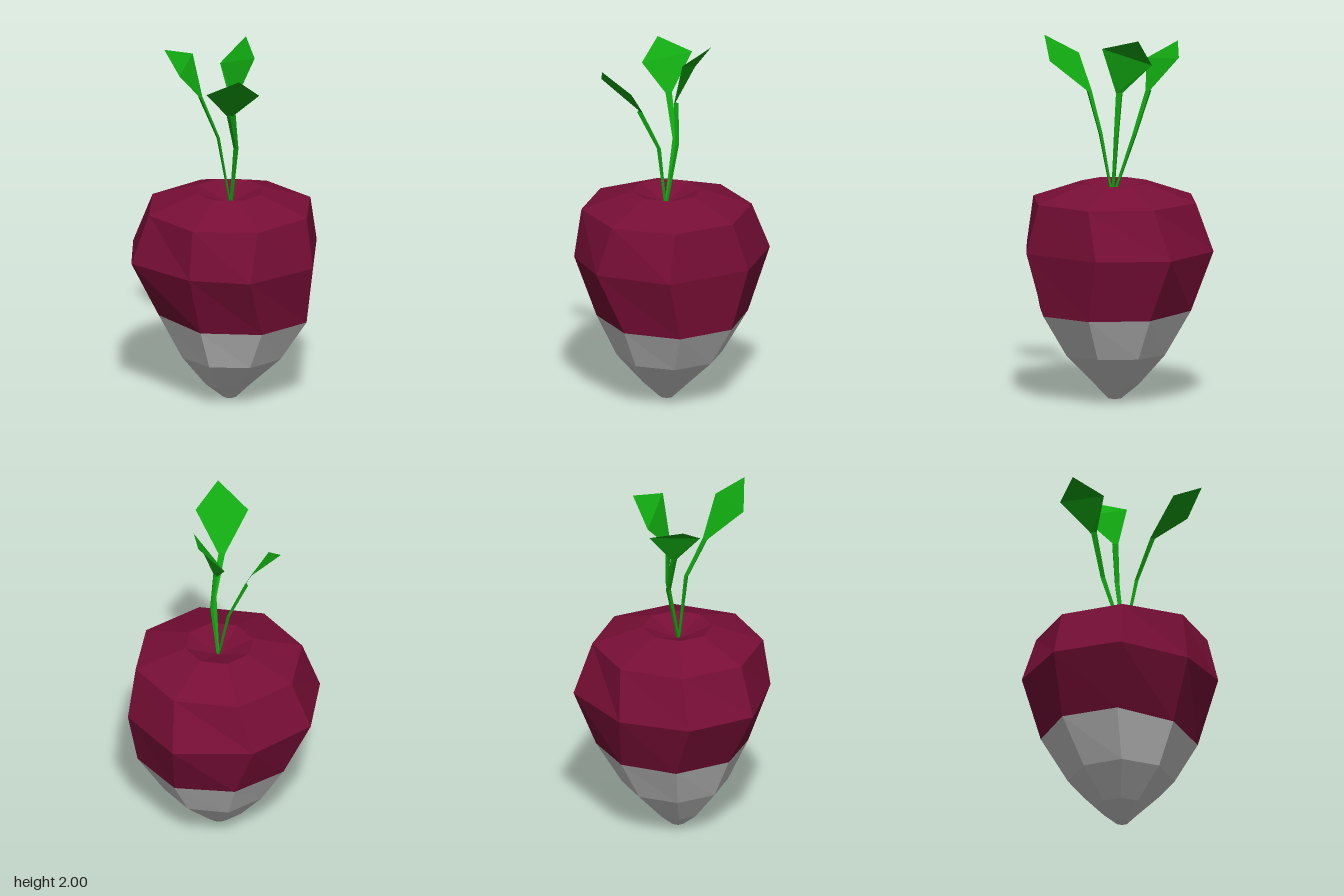
import * as THREE from 'three';

const SIDES = 8;

const material = (color, side = THREE.FrontSide) =>
  new THREE.MeshStandardMaterial({ color, side, flatShading: true });

const V = (p) => new THREE.Vector3(...p);

// Regular octagonal ring of points
function ring(cx, y, cz, r) {
  return Array.from({ length: SIDES }, (_, i) => {
    const a = (i / SIDES) * Math.PI * 2;
    return [cx + r * Math.cos(a), y, cz + r * Math.sin(a)];
  });
}

// Joins rings of equal count, listed bottom to top, into one skin
function loft(rings) {
  const n = rings[0].length;
  const index = [];
  for (let k = 0; k < rings.length - 1; k++) {
    for (let i = 0; i < n; i++) {
      const a = k * n + i, b = k * n + ((i + 1) % n);
      index.push(a, a + n, b + n, a, b + n, b);
    }
  }
  return surface(rings.flat(), index);
}

function surface(points, index) {
  const g = new THREE.BufferGeometry();
  g.setAttribute('position', new THREE.Float32BufferAttribute(points.flat(), 3));
  g.setIndex(index);
  g.computeVertexNormals();
  return g;
}

function add(parent, name, geometry, mat) {
  const mesh = new THREE.Mesh(geometry, mat);
  mesh.name = name;
  parent.add(mesh);
}

// One sprout: three-sided stem through the path, then a folded diamond leaf
function sprout({ name, mid, neck, left, right, tip }, mat) {
  const group = new THREE.Group();
  group.name = name;
  const across = V(right).sub(V(left)).setY(0).normalize();
  const out = V(neck).sub(V([0.02, 0, 0.03])).setY(0).normalize();
  const path = [[[0.03, 1.11, 0.035], 0.008], [mid, 0.014], [neck, 0.018]];
  const rings = path.map(([p, w]) => [
    V(p).addScaledVector(across, -w).toArray(),
    V(p).addScaledVector(across, w).toArray(),
    V(p).addScaledVector(out, w * 1.2).toArray(),
  ]);
  add(group, 'stem', loft(rings), mat);
  const [neckLeft, neckRight] = rings[2];
  add(group, 'leaf', surface([neckLeft, neckRight, right, left, tip],
    [0, 1, 2, 0, 2, 3, 3, 2, 4]), mat);
  return group;
}

export function createModel() {
  const model = new THREE.Group();
  model.name = 'rootVegetable';

  // Slightly irregular widest ring
  const widest = [
    [0.54, 0.065], [0.345, 0.445], [0.02, 0.535], [-0.385, 0.42],
    [-0.545, 0.065], [-0.41, -0.31], [-0.035, -0.54], [0.345, -0.385],
  ].map(([x, z]) => [x, 0.83, z]);

  // Colour boundary, a little higher on one side
  const boundary = ring(0.03, 0.49, 0, 0.44).map(([x, y, z]) =>
    [x, x < -0.1 ? 0.51 : y, z * 0.94]);

  // Upper body with a dished crown
  add(model, 'upperBody', loft([
    boundary,
    widest,
    ring(0.02, 1.1, 0.03, 0.465),
    ring(0.02, 1.195, 0.03, 0.19),
    ring(0.02, 1.12, 0.03, 0),
  ]), material(0x780e36));

  // Pale root tapering to a blunt tip
  add(model, 'rootTip', loft([
    ring(0.02, 0, 0.03, 0),
    ring(0.02, 0.008, 0.03, 0.038),
    ring(0.01, 0.09, 0.03, 0.13),
    ring(0.03, 0.26, 0.015, 0.29),
    boundary,
  ]), material(0xcccccc));

  // Three sprouts from the crown
  const green = material(0x11a811, THREE.DoubleSide);
  const sprouts = [
    { name: 'rightSprout', mid: [-0.07, 1.46, -0.025], neck: [-0.165, 1.69, 0],
      left: [-0.285, 1.88, -0.14], right: [-0.23, 1.845, 0.14], tip: [-0.37, 1.945, 0.04] },
    { name: 'backSprout', mid: [0.035, 1.46, -0.02], neck: [0.015, 1.69, -0.015],
      left: [0.135, 1.945, -0.045], right: [-0.12, 1.85, -0.14], tip: [0, 2, -0.215] },
    { name: 'frontSprout', mid: [0.08, 1.46, 0.075], neck: [0.095, 1.68, 0.18],
      left: [0.055, 1.86, 0.39], right: [0.305, 1.85, 0.25], tip: [0.258, 1.97, 0.405] },
  ];
  for (const s of sprouts) model.add(sprout(s, green));

  return model;
}
